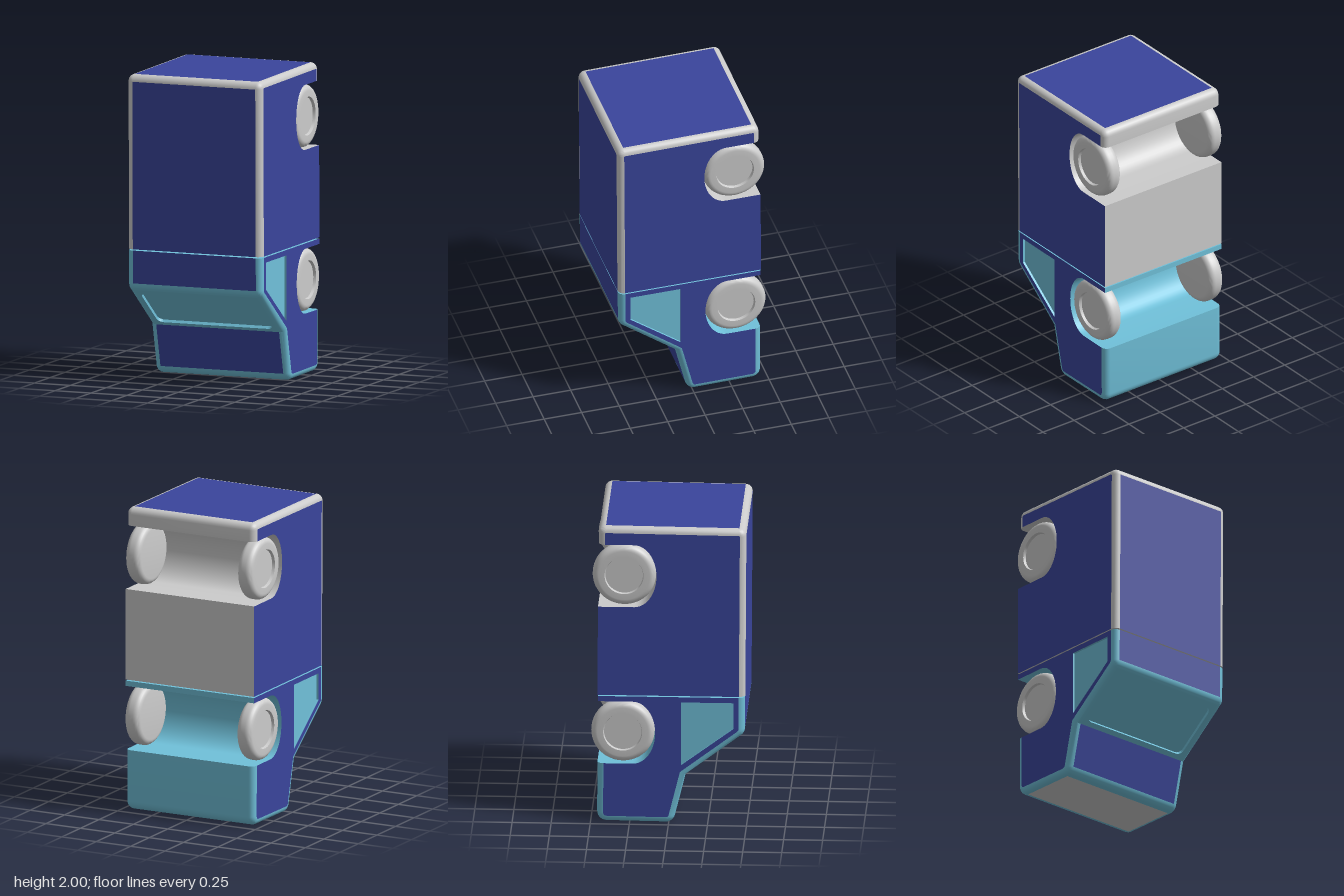
import * as THREE from 'three';
import { toCreasedNormals } from 'three/addons/utils/BufferGeometryUtils.js';

const mat = (color) => new THREE.MeshStandardMaterial({ color, side: THREE.DoubleSide });
const grey = mat(0xcccccc), blue = mat(0x3a459c), teal = mat(0x70c1da);
const HALF = 0.467, ROUND = 0.04, STEPS = 6;
const V2 = (a, b) => new THREE.Vector2(a, b);

function add(parent, name, geometry, material) {
  const mesh = new THREE.Mesh(geometry, material);
  mesh.name = name;
  parent.add(mesh);
  return mesh;
}

// Corners [z, y, fillet radius, kind of the edge that follows] -> outline points with edge kinds
function outline(corners) {
  const out = [];
  corners.forEach(([z, y, r, kind], i) => {
    const p = V2(z, y);
    if (!r) { out.push({ p, kind }); return; }
    const n = corners.length, a = corners[(i + n - 1) % n], b = corners[(i + 1) % n];
    const d0 = p.clone().sub(V2(a[0], a[1])).normalize();
    const d1 = V2(b[0], b[1]).sub(p).normalize();
    const turn = Math.atan2(d0.cross(d1), d0.dot(d1));
    const start = p.clone().addScaledVector(d0, -r * Math.tan(turn / 2));
    const centre = start.clone().add(V2(-d0.y, d0.x).multiplyScalar(r));
    const from = start.clone().sub(centre);
    for (let k = 0; k <= STEPS; k++) {
      const q = from.clone().rotateAround(V2(0, 0), turn * k / STEPS).add(centre);
      out.push({ p: q, kind: k < STEPS ? 'trim' : kind });
    }
  });
  return out;
}

// Moves every edge inward by d, except the 'open' ones (underside, arches, joint)
function inset(pts, d) {
  const n = pts.length;
  return pts.map(({ p, kind }, i) => {
    const prev = pts[(i + n - 1) % n];
    const d0 = p.clone().sub(prev.p).normalize();
    const d1 = pts[(i + 1) % n].p.clone().sub(p).normalize();
    const o0 = prev.kind === 'open' ? 0 : d, o1 = kind === 'open' ? 0 : d;
    const c = d0.cross(d1);
    if (Math.abs(c) < 1e-5 || (!o0 && !o1)) return p.clone().add(V2(-d0.y, d0.x).multiplyScalar(o0));
    const a = p.clone().add(V2(-d0.y, d0.x).multiplyScalar(o0));
    const b = p.clone().add(V2(-d1.y, d1.x).multiplyScalar(o1));
    return a.clone().addScaledVector(d0, b.sub(a).cross(d1) / c);
  });
}

// Semi-elliptical wheel arch, open towards -z
function arch(z, y, rz, ry) {
  return Array.from({ length: 25 }, (_, i) => {
    const t = Math.PI * (0.5 - i / 24);
    return [z + rz * Math.cos(t), y + ry * Math.sin(t), 0, 'open'];
  });
}

// Flat panel with an optional sunken window
function panel(name, edge, frameMat, hole, depth = 0.015) {
  const group = new THREE.Group();
  group.name = name;
  const shape = new THREE.Shape(edge);
  if (hole) {
    shape.holes.push(new THREE.Path(hole));
    add(group, name + 'Window', new THREE.ShapeGeometry(new THREE.Shape(hole)), teal).position.z = -depth;
    const pos = [];
    hole.forEach((a, i) => {
      const b = hole[(i + 1) % hole.length];
      pos.push(a.x, a.y, 0, a.x, a.y, -depth, b.x, b.y, -depth, a.x, a.y, 0, b.x, b.y, -depth, b.x, b.y, 0);
    });
    const wall = new THREE.BufferGeometry();
    wall.setAttribute('position', new THREE.Float32BufferAttribute(pos, 3));
    wall.computeVertexNormals();
    add(group, name + 'WindowRim', wall, teal);
  }
  add(group, name + 'Face', new THREE.ShapeGeometry(shape), frameMat);
  return group;
}

// Solid across the width with rounded side edges; flat areas become coloured panels
function hull(name, corners, trimMat, sideWindow) {
  const group = new THREE.Group();
  group.name = name;
  const pts = outline(corners), n = pts.length, layers = [];
  for (let i = 0; i <= STEPS; i++) {
    const t = (i / STEPS) * Math.PI / 2;
    const ring = inset(pts, ROUND * (1 - Math.cos(t)));
    const x = HALF - ROUND + ROUND * Math.sin(t);
    layers.push({ x, ring });
    layers.unshift({ x: -x, ring });
  }
  const faces = { trim: [], blue: [], grey: [] };
  for (let l = 0; l + 1 < layers.length; l++) {
    const A = layers[l], B = layers[l + 1], centre = l === STEPS;
    for (let i = 0; i < n; i++) {
      const j = (i + 1) % n, kind = pts[i].kind;
      if (centre && kind === 'glass') continue;
      const list = (centre && faces[kind]) || faces.trim;
      const a = [A.x, A.ring[i].y, A.ring[i].x], b = [B.x, B.ring[i].y, B.ring[i].x];
      const c = [B.x, B.ring[j].y, B.ring[j].x], d = [A.x, A.ring[j].y, A.ring[j].x];
      list.push(...a, ...b, ...c, ...a, ...c, ...d);
    }
  }
  const mats = { trim: trimMat, blue, grey };
  for (const key in faces) {
    if (!faces[key].length) continue;
    const g = new THREE.BufferGeometry();
    g.setAttribute('position', new THREE.Float32BufferAttribute(faces[key], 3));
    add(group, name + (key === 'trim' ? 'Shell' : key === 'blue' ? 'Panels' : 'NosePanel'), toCreasedNormals(g, 0.6), mats[key]);
  }
  // Side panels, mirrored
  const flip = (list) => list && list.map((p) => V2(-p.x, p.y));
  for (const s of [1, -1]) {
    const side = new THREE.Group();
    side.name = name + (s > 0 ? 'LeftSide' : 'RightSide');
    const face = panel(name + 'Side', flip(layers.at(-1).ring), blue, flip(sideWindow));
    face.rotation.y = Math.PI / 2;
    face.position.x = HALF;
    side.add(face);
    side.scale.x = s;
    group.add(side);
  }
  // Windscreen on the sloping face
  const g = pts.findIndex((q) => q.kind === 'glass');
  if (g >= 0) {
    const P = pts[g].p, Q = pts[(g + 1) % n].p, L = P.distanceTo(Q), w = HALF - ROUND;
    const v0 = 0.035, v1 = L - 0.04;
    const hole = outline([[-0.4, v0, 0.04], [0.4, v0, 0.04], [0.4, v1, 0.04], [-0.4, v1, 0.04]]).map((q) => q.p);
    const screen = panel('windscreen', [V2(-w, 0), V2(w, 0), V2(w, L), V2(-w, L)], trimMat, hole, 0.02);
    screen.position.set(0, P.y, P.x);
    screen.rotation.x = Math.atan2(Q.x - P.x, Q.y - P.y);
    group.add(screen);
  }
  return group;
}

// Tyre with rounded shoulders and a sunken hub
function wheelGeometry(R) {
  const pts = [V2(0, -0.053), V2(R - 0.04, -0.053)];
  for (const [c, a0] of [[-0.013, -Math.PI / 2], [0.013, 0]])
    for (let i = 0; i <= 6; i++) {
      const t = a0 + i * Math.PI / 12;
      pts.push(V2(R - 0.04 + 0.04 * Math.cos(t), c + 0.04 * Math.sin(t)));
    }
  pts.push(V2(0.125, 0.053), V2(0.12, 0.035), V2(0, 0.035));
  return toCreasedNormals(new THREE.LatheGeometry(pts, 48).rotateZ(-Math.PI / 2), 0.6);
}

export function createModel() {
  const model = new THREE.Group();
  model.name = 'van';

  // Cargo box
  model.add(hull('cargoBox', [
    [0.49, 0.863, 0, 'blue'], [0.497, 1.992, 0.045, 'blue'], [-0.447, 2, 0.045, 'trim'],
    [-0.447, 1.88, 0, 'open'], ...arch(-0.22, 1.67, 0.143, 0.21),
    [-0.452, 1.46, 0, 'open'], [-0.455, 0.863, 0, 'open'],
  ], grey));

  // Cab, nose down
  model.add(hull('cab', [
    [0.489, 0.855, 0, 'open'], [-0.453, 0.855, 0, 'open'], [-0.453, 0.82, 0, 'open'],
    ...arch(-0.23, 0.61, 0.145, 0.21), [-0.457, 0.4, 0, 'trim'],
    [-0.459, 0.005, 0.06, 'grey'], [0.028, 0, 0.06, 'blue'],
    [0.108, 0.325, 0, 'glass'], [0.487, 0.613, 0.06, 'blue'],
  ], teal, [V2(0.415, 0.82), V2(0.08, 0.82), V2(0.08, 0.395), V2(0.415, 0.645)]));

  // Wheels
  const wheel = wheelGeometry(0.203);
  for (const [name, y, z] of [['rearWheel', 1.67, -0.285], ['frontWheel', 0.61, -0.294]])
    for (const s of [1, -1]) {
      const mesh = add(model, name, wheel, grey);
      mesh.position.set(s * 0.407, y, z);
      mesh.scale.x = s;
    }
  return model;
}
